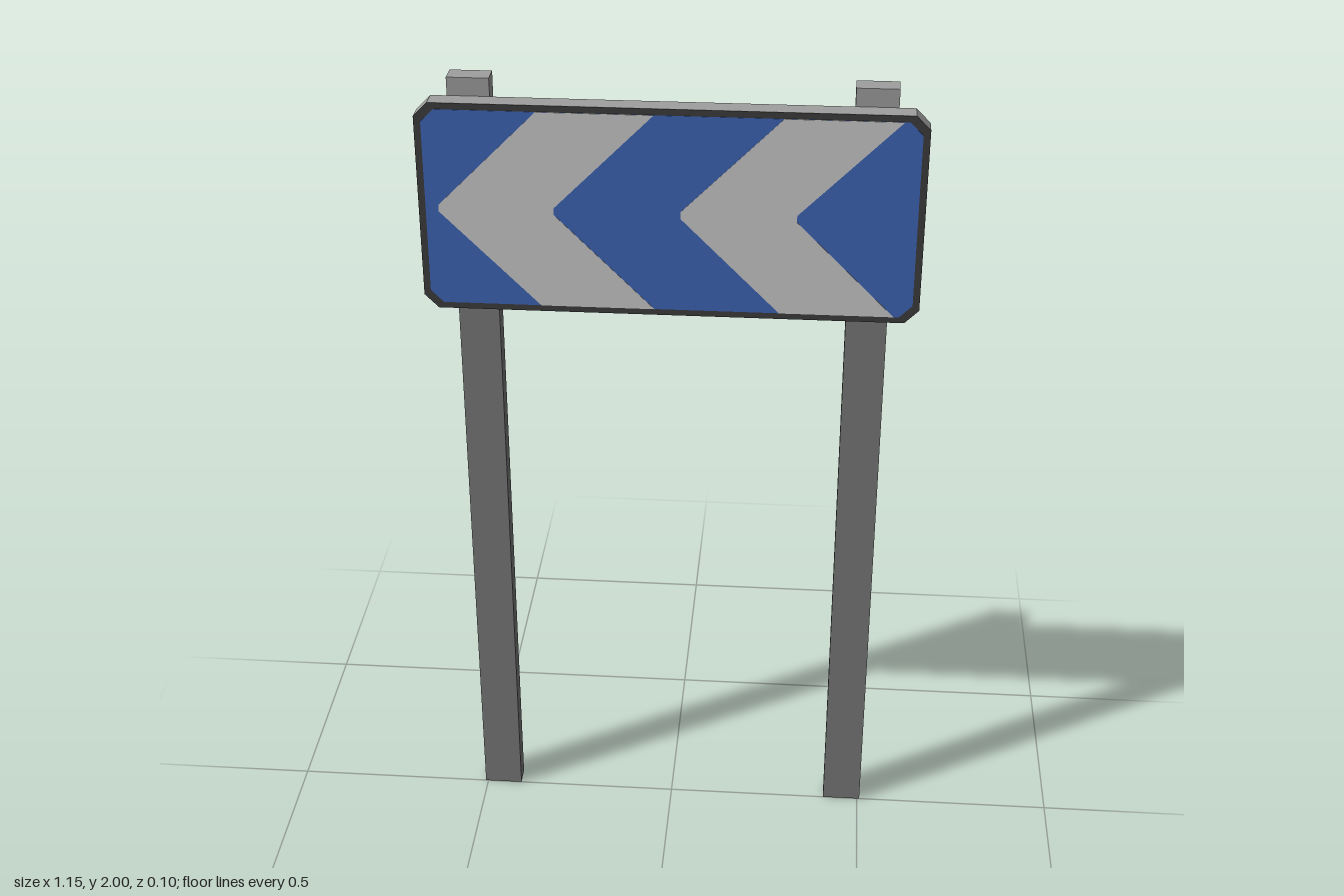
import * as THREE from 'three';

const mat = (name, color) => Object.assign(new THREE.MeshStandardMaterial({ color }), { name });

export function createModel() {
  const model = new THREE.Group();
  model.name = 'chevronRoadSign';
  const steel = mat('light grey metal', 0x9f9f9f);
  const post = mat('dark grey post', 0x7a7a7a);
  const border = mat('charcoal border', 0x3d3d3d);
  const blue = mat('sign blue', 0x3f66b8);
  const white = mat('reflective pale grey', 0xcccccc);

  const midY = 1.704;
  const add = (name, geometry, material, x, y, z) => {
    const mesh = new THREE.Mesh(geometry, material);
    mesh.name = name;
    mesh.position.set(x, y, z);
    model.add(mesh);
  };
  const plate = (points, depth) => new THREE.ExtrudeGeometry(
    new THREE.Shape(points.map(([x, y]) => new THREE.Vector2(x, y))),
    { depth, bevelEnabled: false });
  // Rectangle with clipped corners, from its half sizes
  const clipped = (w, h, c) => [
    [-w + c, -h], [w - c, -h], [w, -h + c], [w, h - c],
    [w - c, h], [-w + c, h], [-w, h - c], [-w, -h + c]];

  // Board with its dark edge and blue face
  add('board', plate(clipped(0.577, 0.253, 0.033), 0.047), steel, 0, midY, 0);
  add('boardBorder', plate(clipped(0.577, 0.253, 0.033), 0.001), border, 0, midY, 0.047);
  add('blueFace', plate(clipped(0.561, 0.238, 0.03), 0.001), blue, 0, midY, 0.048);

  // Two chevrons pointing to the model's right, with blunted tips
  const h = 0.238, t = 0.008, run = 0.23, band = 0.265;
  const chevron = [
    [0, -t], [run, -h], [run + band, -h], [band, -t],
    [band, t], [run + band, h], [run, h], [0, t]];
  [-0.531, 0.024].forEach((x, i) =>
    add('chevron' + (i + 1), plate(chevron, 0.001), white, x, midY, 0.049));

  // Posts: dark below, bare metal behind the board
  for (const [side, s] of [['left', 1], ['right', -1]]) {
    add(side + 'PostLower', new THREE.BoxGeometry(0.097, 1.5, 0.05), post, s * 0.458, 0.75, -0.025);
    add(side + 'PostUpper', new THREE.BoxGeometry(0.097, 0.5, 0.05), steel, s * 0.458, 1.75, -0.025);
  }
  return model;
}
